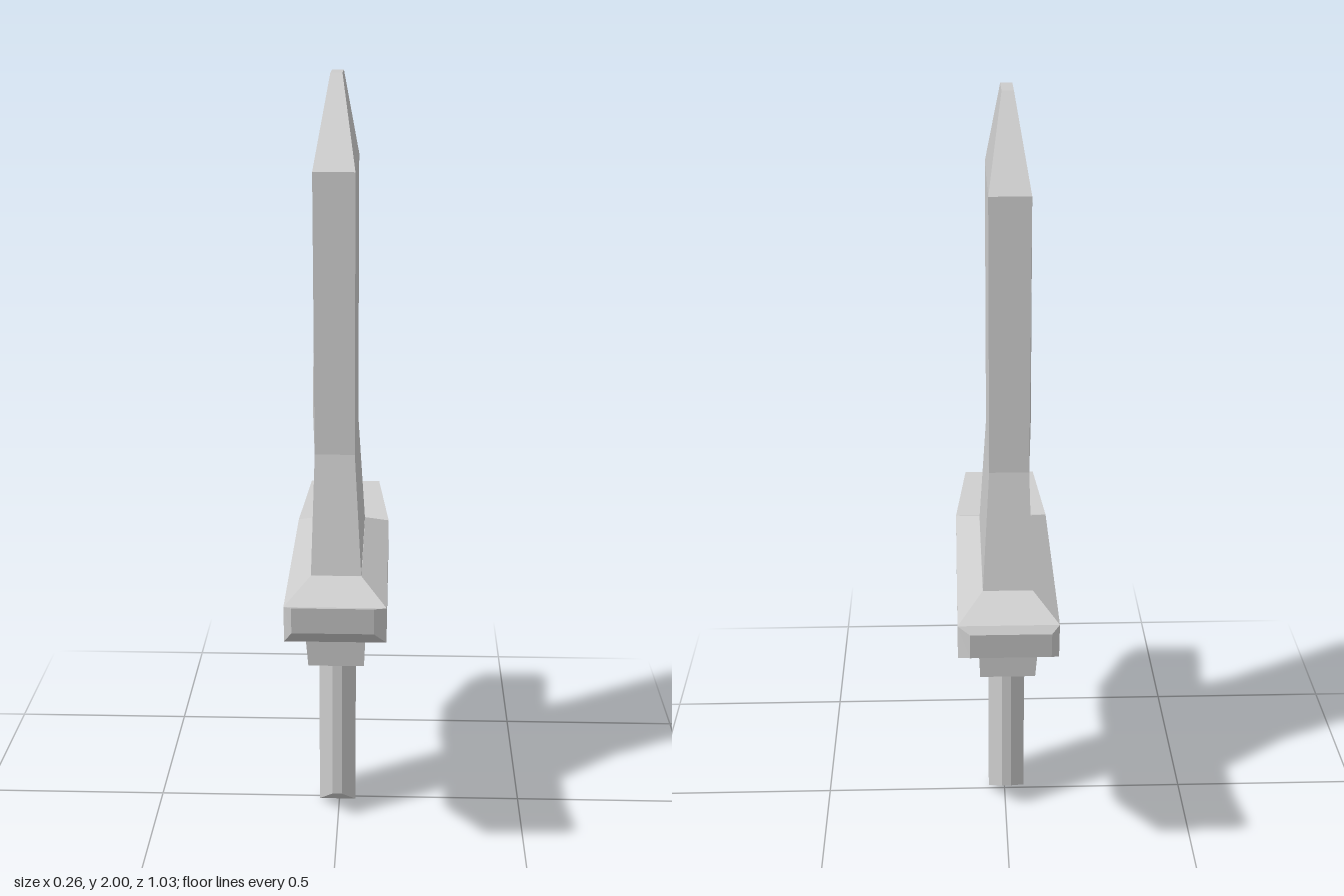
import * as THREE from 'three';

const material = new THREE.MeshStandardMaterial({ color: 0xcccccc, flatShading: true });

// Skin a list of rings (counterclockwise seen from the end), optionally capped.
// skip(section, side) leaves out single side panels.
function loft(name, rings, { start = true, end = true, skip = () => false } = {}) {
  const pos = [];
  const tri = (a, b, c) => pos.push(...a, ...b, ...c);
  const n = rings[0].length;
  for (let s = 0; s < rings.length - 1; s++) {
    for (let i = 0; i < n; i++) {
      if (skip(s, i)) continue;
      const a = rings[s], b = rings[s + 1], j = (i + 1) % n;
      tri(a[i], a[j], b[j]);
      tri(a[i], b[j], b[i]);
    }
  }
  const first = rings[0], last = rings[rings.length - 1];
  for (let i = 1; i < n - 1; i++) {
    if (start) tri(first[0], first[i + 1], first[i]);
    if (end) tri(last[0], last[i], last[i + 1]);
  }
  const geometry = new THREE.BufferGeometry();
  geometry.setAttribute('position', new THREE.Float32BufferAttribute(pos, 3));
  geometry.computeVertexNormals();
  const mesh = new THREE.Mesh(geometry, material);
  mesh.name = name;
  return mesh;
}

// Horizontal rectangle at height y
const rectY = (y, x0, x1, z0, z1) => [[x0, y, z1], [x1, y, z1], [x1, y, z0], [x0, y, z0]];

// Upright rectangle across the guard at depth z; top and bottom may lean apart
const rectZ = (zBottom, zTop, x, y0, y1) =>
  [[-x, y0, zBottom], [x, y0, zBottom], [x, y1, zTop], [-x, y1, zTop]];

// Six-sided grip section: a ridge on each flat, narrow front and back edges
const gripRing = (yMid, yEnd, x0, x1, zFront, zBack) => [
  [x0, yMid, 0.015], [-0.015, yEnd, zFront], [0.01, yEnd, zFront],
  [x1, yMid, 0.015], [0.01, yEnd, zBack], [-0.015, yEnd, zBack],
];

export function createModel() {
  const group = new THREE.Group();
  group.name = 'dagger';

  // Blade: flared root, straight body, tapered tip
  const sections = [
    rectY(0.74, -0.066, 0.064, -0.236, 0.236),
    rectY(1.06, -0.057, 0.045, -0.185, 0.187),
    rectY(1.775, -0.06, 0.045, -0.193, 0.195),
    rectY(2.0, -0.021, 0.009, -0.054, 0.056),
  ];
  group.add(loft('blade', sections, { skip: (s, i) => s === 1 && i === 3 }));

  // Flat of the blade with its sunken slot, on the -x side only
  const [low, high] = [sections[1], sections[2]];
  const slotRing = (xLow, xHigh) => [
    [xLow, 1.14, -0.04], [xLow, 1.14, 0.065], [xHigh, 1.73, 0.045], [xHigh, 1.73, -0.02],
  ];
  group.add(loft('bladeSlot', [
    [low[3], low[0], high[0], high[3]],
    slotRing(-0.067, -0.062),
    slotRing(-0.03, -0.03),
  ], { start: false }));

  // Guard with upswept wings
  group.add(loft('guard', [
    rectZ(-0.5, -0.513, 0.1, 0.7, 0.77),
    rectZ(-0.325, -0.342, 0.13, 0.605, 0.705),
    rectZ(0.325, 0.342, 0.13, 0.605, 0.705),
    rectZ(0.5, 0.513, 0.1, 0.7, 0.77),
  ]));

  // Sloped roof between guard and blade
  group.add(loft('guardRoof', [
    rectY(0.705, -0.13, 0.13, -0.342, 0.342),
    rectY(0.75, -0.066, 0.064, -0.236, 0.236),
  ]));

  // Block under the guard
  group.add(loft('guardBlock', [
    rectY(0.513, -0.072, 0.072, -0.263, 0.265),
    rectY(0.607, -0.079, 0.076, -0.273, 0.277),
  ]));

  // Grip with wedge-shaped end and a skewed collar at the top
  group.add(loft('grip', [
    gripRing(0, 0.07, -0.055, 0.045, 0.12, -0.097),
    gripRing(0.46, 0.46, -0.055, 0.045, 0.12, -0.097),
    gripRing(0.515, 0.5, -0.055, 0.012, 0.125, -0.097),
  ]));
  group.add(loft('gripCollar', [
    gripRing(0.475, 0.47, -0.056, 0.03, 0.122, -0.09),
    gripRing(0.513, 0.505, -0.08, 0.012, 0.143, -0.115),
  ]));

  return group;
}
